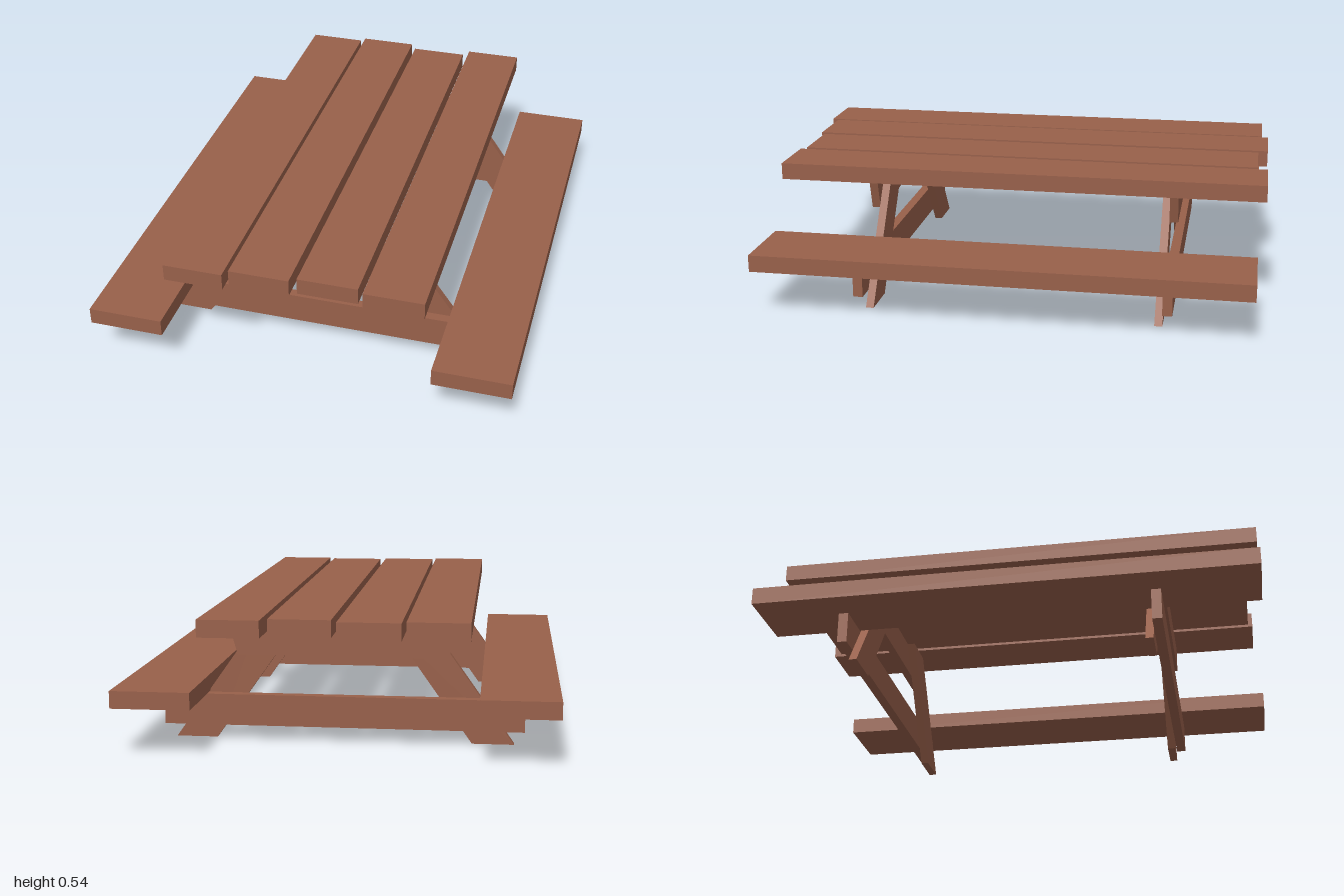
import * as THREE from 'three';

export function createModel() {
  const group = new THREE.Group();
  const wood = new THREE.MeshStandardMaterial({ color: 0x98604a });
  wood.name = 'reddish brown wood';

  const add = (name, geometry) => {
    const mesh = new THREE.Mesh(geometry, wood);
    mesh.name = name;
    group.add(mesh);
  };

  // Box between two corners
  const board = (name, x0, x1, y0, y1, z0, z1) => add(name,
    new THREE.BoxGeometry(x1 - x0, y1 - y0, z1 - z0)
      .translate((x0 + x1) / 2, (y0 + y1) / 2, (z0 + z1) / 2));

  // Outline in the xy plane, sawn to a thickness along z
  const sawn = (name, points, z0, z1) => {
    const shape = new THREE.Shape(points.map(([x, y]) => new THREE.Vector2(x, y)));
    add(name, new THREE.ExtrudeGeometry(shape, { depth: z1 - z0, bevelEnabled: false })
      .translate(0, 0, z0));
  };

  // Table top planks, slightly uneven in length
  [
    [-0.51, -0.275, -0.975, 1.0],
    [-0.26, -0.022, -1.0, 0.97],
    [0.003, 0.24, -0.96, 0.95],
    [0.263, 0.498, -1.0, 0.97],
  ].forEach(([x0, x1, z0, z1], i) => board('tablePlank' + (i + 1), x0, x1, 0.473, 0.54, z0, z1));

  // Benches
  board('benchRight', -0.845, -0.545, 0.19, 0.258, -0.975, 1.0);
  board('benchLeft', 0.535, 0.843, 0.19, 0.258, -0.975, 1.0);

  // Two trestles: the beams are fixed on the same outer side of the legs
  const trestles = [
    { end: 'front', leg: [0.548, 0.58], low: [0.58, 0.619], high: [0.58, 0.614] },
    { end: 'back', leg: [-0.62, -0.588], low: [-0.659, -0.62], high: [-0.654, -0.62] },
  ];
  for (const { end, leg, low, high } of trestles) {
    board(end + 'BenchBeam', -0.716, 0.713, 0.06, 0.185, ...low);
    sawn(end + 'TableBeam',
      [[-0.415, 0.345], [0.415, 0.345], [0.45, 0.47], [-0.453, 0.47]], ...high);

    // Splayed legs
    for (const s of [-1, 1]) {
      const outline = [[0.51, 0], [0.675, 0], [0.342, 0.47], [0.178, 0.47]]
        .map(([x, y]) => [s * x, y]);
      sawn(end + (s > 0 ? 'LeftLeg' : 'RightLeg'), outline, ...leg);
    }
  }
  return group;
}
